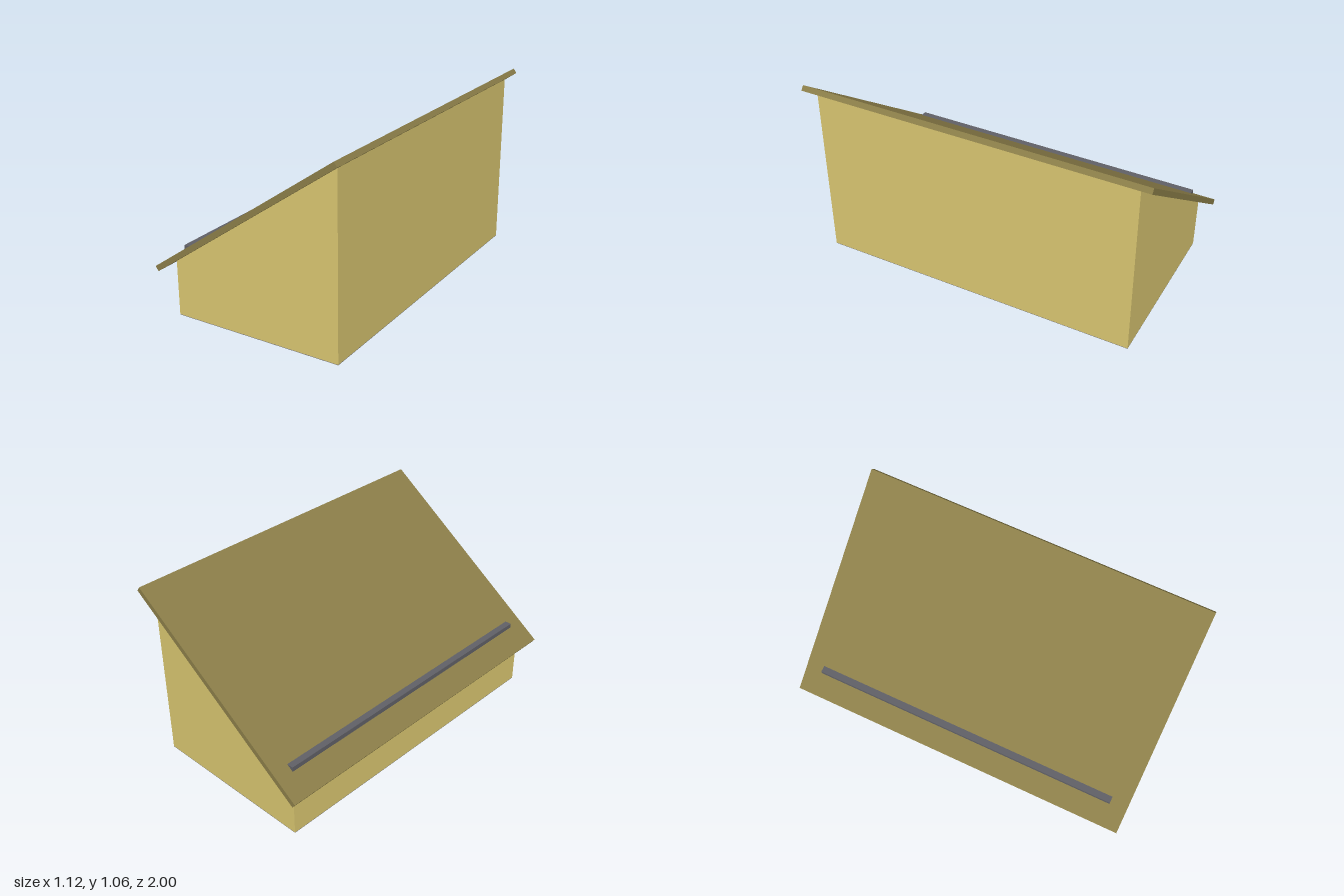
import * as THREE from 'three';

const material = (color) => new THREE.MeshStandardMaterial({ color });

// Extrudes an x-y outline along z, centred on z = 0
function prism(name, points, depth, mat) {
  const shape = new THREE.Shape(points.map(([x, y]) => new THREE.Vector2(x, y)));
  const geometry = new THREE.ExtrudeGeometry(shape, { depth, bevelEnabled: false });
  geometry.translate(0, 0, -depth / 2);
  const mesh = new THREE.Mesh(geometry, mat);
  mesh.name = name;
  return mesh;
}

export function createModel() {
  const group = new THREE.Group();
  group.name = 'leanToShed';

  const wallMat = material(0xd8c570);
  const roofMat = material(0x8a7d48);
  const barMat = material(0x606066);
  const floorMat = material(0x808080);

  // Body with a sloping top that meets the roof underside
  group.add(prism('walls', [[-0.476, 0.003], [0.516, 0.003], [0.516, 1.009], [-0.476, 0.312]], 1.86, wallMat));

  // Thin floor plate closing the underside
  const floor = new THREE.Mesh(new THREE.BoxGeometry(0.992, 0.003, 1.86), floorMat);
  floor.name = 'floor';
  floor.position.set(0.02, 0.0015, 0);
  group.add(floor);

  // Single pitched roof slab overhanging every side
  group.add(prism('roof', [[-0.543, 0.265], [0.559, 1.039], [0.541, 1.064], [-0.561, 0.29]], 2, roofMat));

  // Level guard rail let into the lower part of the roof
  group.add(prism('roofRail', [[-0.445, 0.36], [-0.405, 0.385], [-0.405, 0.398], [-0.445, 0.398]], 1.8, barMat));

  return group;
}
